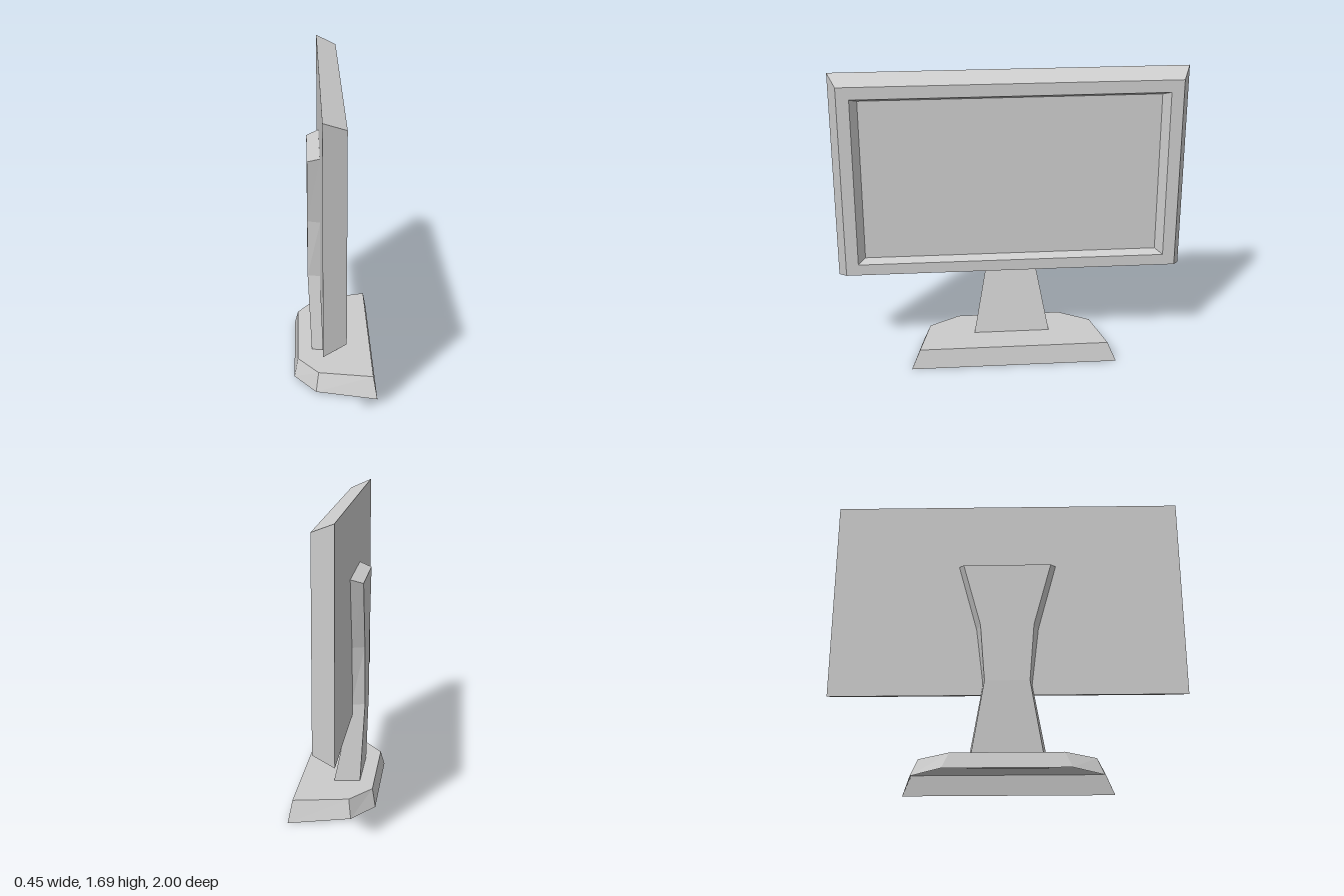
import * as THREE from 'three';

// Skins a series of convex rings; each ring runs counter-clockwise seen from the far end
function loft(name, rings, capStart, capEnd, side = THREE.FrontSide) {
  const pos = [];
  const tri = (a, b, c) => pos.push(...a, ...b, ...c);
  for (let k = 0; k < rings.length - 1; k++) {
    const r = rings[k], s = rings[k + 1], n = r.length;
    for (let i = 0; i < n; i++) {
      const j = (i + 1) % n;
      tri(r[i], r[j], s[j]);
      tri(r[i], s[j], s[i]);
    }
  }
  const first = rings[0], last = rings[rings.length - 1];
  for (let i = 1; i < first.length - 1; i++) {
    if (capStart) tri(first[0], first[i + 1], first[i]);
    if (capEnd) tri(last[0], last[i], last[i + 1]);
  }
  const geo = new THREE.BufferGeometry();
  geo.setAttribute('position', new THREE.Float32BufferAttribute(pos, 3));
  geo.computeVertexNormals();
  const mesh = new THREE.Mesh(geo, new THREE.MeshStandardMaterial({ color: 0xcccccc, flatShading: true, side }));
  mesh.name = name;
  return mesh;
}

// Upright rectangle at x, from y0 to y1, half width h in z
const screenRing = (x, y0, y1, h) => [[x, y0, h], [x, y0, -h], [x, y1, -h], [x, y1, h]];

// Level section of the neck: back and front each have x, y and half width
const neckRing = (xb, yb, hb, xf, yf, hf) => [[xb, yb, hb], [xf, yf, hf], [xf, yf, -hf], [xb, yb, -hb]];

// Mirrors a half outline (back to front) across z = 0
const mirrorRing = (half) => [...half, ...half.map(([x, y, z]) => [x, y, -z]).reverse()];

export function createModel() {
  const model = new THREE.Group();
  model.name = 'monitor';

  // Tapered housing, flat bezel, sloped recess and sunken screen
  const housing = [
    screenRing(-0.08, 0.48, 1.69, 1),
    screenRing(0.04, 0.525, 1.64, 0.95),
  ];
  const opening = screenRing(0.04, 0.59, 1.57, 0.88);
  const glass = screenRing(-0.008, 0.612, 1.548, 0.84);
  model.add(loft('housing', [...housing, opening, glass], true, false));
  model.add(loft('screen', [glass], false, true));

  // Waisted neck, pushed slightly through the base plate
  model.add(loft('neck', [
    neckRing(-0.129, 0.09, 0.2, 0.019, 0.09, 0.224),
    neckRing(-0.15, 0.54, 0.125, -0.073, 0.54, 0.138),
    neckRing(-0.15, 0.88, 0.15, -0.078, 0.88, 0.175),
    neckRing(-0.15, 1.26, 0.25, -0.078, 1.285, 0.28),
  ], true, true));

  // Hollow base shell, open underneath
  model.add(loft('base', [
    mirrorRing([[-0.23, 0.012, 0.345], [-0.11, 0.009, 0.52], [0.225, 0, 0.595]]),
    mirrorRing([[-0.21, 0.104, 0.305], [-0.095, 0.107, 0.48], [0.205, 0.113, 0.545]]),
  ], false, true, THREE.DoubleSide));

  return model;
}
